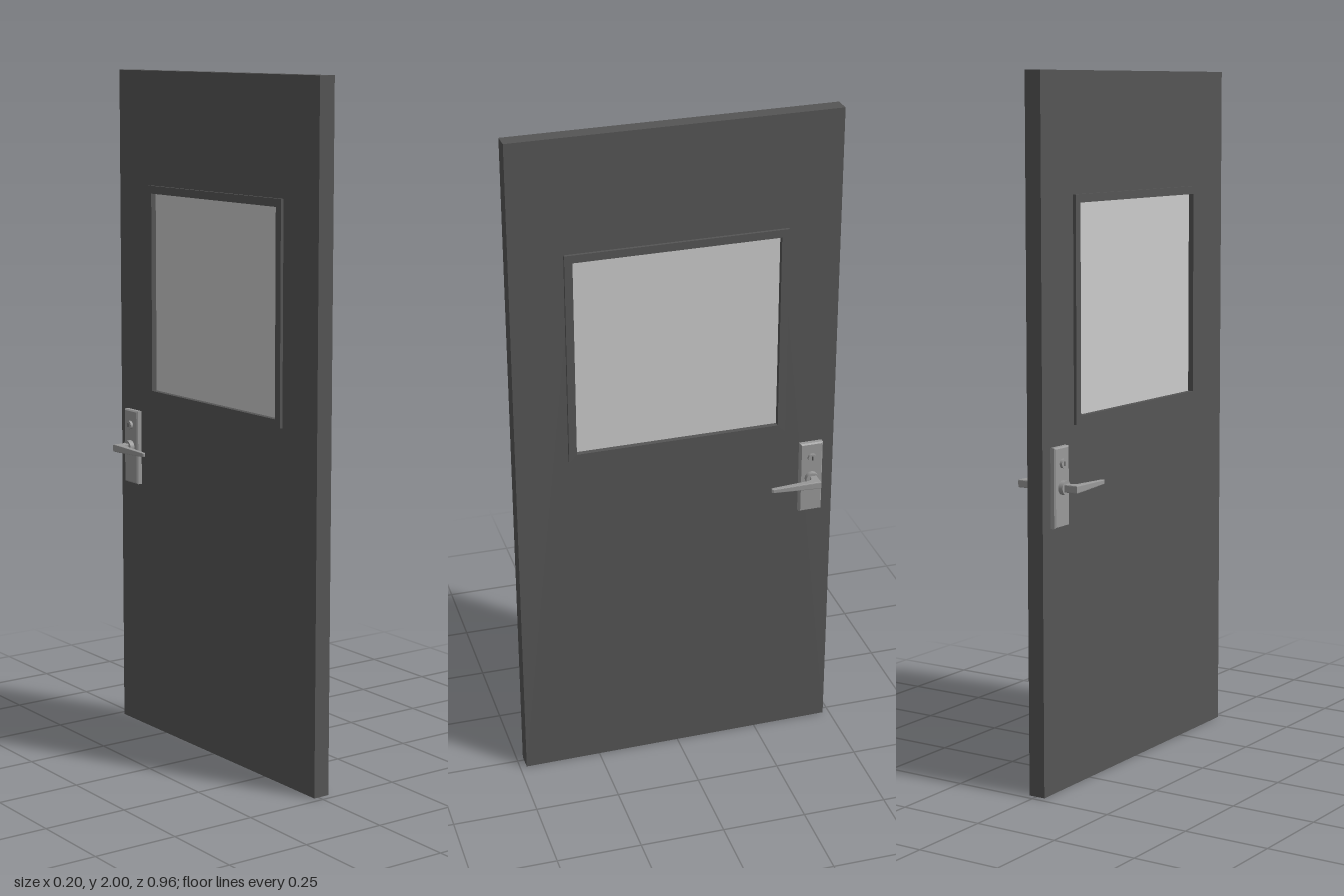
import * as THREE from 'three';

const doorMat = new THREE.MeshStandardMaterial({ color: 0x555555 });
const metalMat = new THREE.MeshStandardMaterial({ color: 0x999999 });
const glassMat = new THREE.MeshStandardMaterial({ color: 0xcccccc });

// Rectangle in the door plane, given as z and y ranges (shape x = -z)
function rect(z0, z1, y0, y1, Type = THREE.Shape) {
  const r = new Type();
  r.moveTo(-z1, y0);
  r.lineTo(-z0, y0);
  r.lineTo(-z0, y1);
  r.lineTo(-z1, y1);
  r.closePath();
  return r;
}

// Slab centred on x = 0 with an optional rectangular opening
function slab(name, outer, hole, thickness, material) {
  const shape = rect(...outer);
  if (hole) shape.holes.push(rect(...hole, THREE.Path));
  const geo = new THREE.ExtrudeGeometry(shape, { depth: thickness, bevelEnabled: false });
  geo.translate(0, 0, -thickness / 2).rotateY(Math.PI / 2);
  const mesh = new THREE.Mesh(geo, material);
  mesh.name = name;
  return mesh;
}

// Round part lying along x, from x0 to x1
function disc(name, radius, x0, x1, y, z, sides = 32) {
  const geo = new THREE.CylinderGeometry(radius, radius, Math.abs(x1 - x0), sides);
  geo.rotateZ(Math.PI / 2);
  const mesh = new THREE.Mesh(geo, metalMat);
  mesh.position.set((x0 + x1) / 2, y, z);
  mesh.name = name;
  return mesh;
}

// Handle set for one face of the door, side = +1 or -1
function handleSet(side) {
  const set = new THREE.Group();
  set.name = side > 0 ? 'leftHandleSet' : 'rightHandleSet';
  const z = -0.408, leverY = 0.868;

  // Backplate with chamfered rim
  const bevel = 0.004;
  const plateGeo = new THREE.ExtrudeGeometry(
    rect(-0.443 + bevel, -0.373 - bevel, 0.756 + bevel, 0.981 - bevel),
    { depth: 0.012, bevelSize: bevel, bevelThickness: bevel, bevelSegments: 1 });
  plateGeo.translate(0, 0, -0.006).rotateY(Math.PI / 2);
  const plate = new THREE.Mesh(plateGeo, metalMat);
  plate.position.x = side * 0.032;
  plate.name = 'backplate';
  set.add(plate);

  // Lock cylinder with key slot, and the collar the lever turns in
  set.add(disc('lockCylinder', 0.013, side * 0.036, side * 0.05, 0.935, z));
  const slot = new THREE.Mesh(new THREE.BoxGeometry(0.003, 0.012, 0.003), doorMat);
  slot.position.set(side * 0.05, 0.935, z);
  slot.name = 'keySlot';
  set.add(slot);
  set.add(disc('leverCollar', 0.02, side * 0.036, side * 0.056, leverY, z));

  // Lever seen from above: neck, elbow and tapering grip
  const outline = [
    [0.05, -0.42], [0.098, -0.42], [0.097, -0.39], [0.092, -0.274], [0.089, -0.269],
    [0.083, -0.269], [0.08, -0.274], [0.077, -0.385], [0.073, -0.396], [0.05, -0.4],
  ].map(([x, w]) => new THREE.Vector2(side * x, w));
  const leverGeo = new THREE.ExtrudeGeometry(new THREE.Shape(outline), {
    depth: 0.016, bevelSize: 0.002, bevelOffset: -0.002, bevelThickness: 0.003, bevelSegments: 2,
  });
  leverGeo.translate(0, 0, -0.008).rotateX(Math.PI / 2);
  const p = leverGeo.attributes.position;
  for (let i = 0; i < p.count; i++) {
    const t = THREE.MathUtils.clamp((p.getZ(i) + 0.4) / 0.13, 0, 1);
    p.setY(i, p.getY(i) * (1 - 0.45 * t));
  }
  leverGeo.computeVertexNormals();
  const lever = new THREE.Mesh(leverGeo, metalMat);
  lever.position.y = leverY;
  lever.name = 'lever';
  set.add(lever);
  return set;
}

export function createModel() {
  const door = new THREE.Group();
  door.name = 'door';

  // Leaf, raised window frame and pane
  const opening = [-0.302, 0.302, 1.053, 1.642];
  door.add(slab('doorLeaf', [-0.48, 0.48, 0, 2], opening, 0.05, doorMat));
  door.add(slab('windowFrame', [-0.325, 0.325, 1.03, 1.665], opening, 0.068, doorMat));
  door.add(slab('windowPane', opening, null, 0.036, glassMat));

  // Matching handles on both faces
  for (const side of [1, -1]) door.add(handleSet(side));

  // The leaf stands very slightly ajar
  door.rotation.y = 0.0125;
  door.position.x = 0.004;

  const model = new THREE.Group();
  model.name = 'doorModel';
  model.add(door);
  return model;
}
